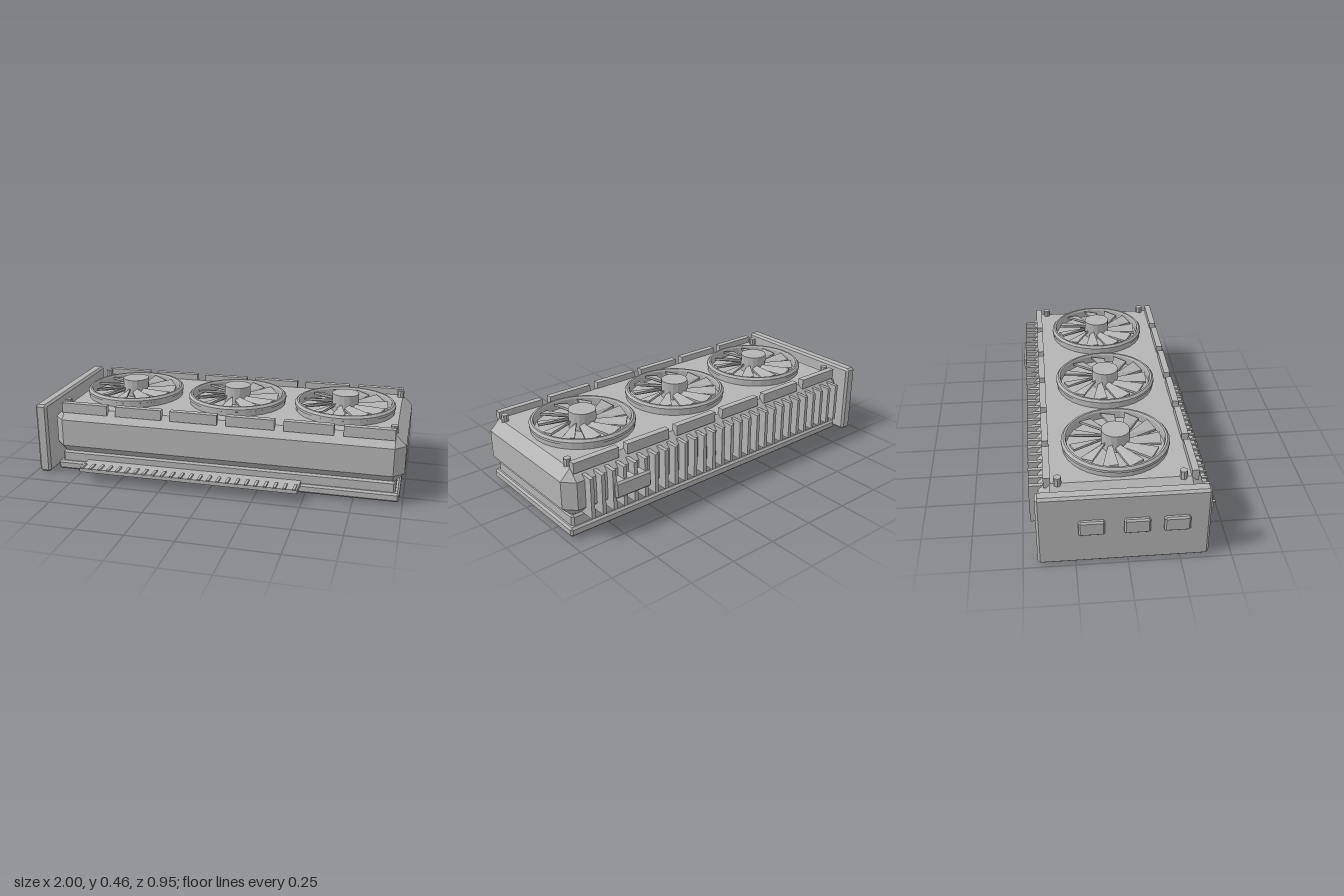
import * as THREE from 'three';
import { ConvexGeometry } from 'three/addons/geometries/ConvexGeometry.js';

const grey = new THREE.MeshStandardMaterial({ color: 0xb4b4b4, flatShading: true });
grey.name = 'plain grey';

// Box given by its extents, with all edges chamfered by b
function chamferBox([x0, x1], [y0, y1], [z0, z1], b) {
  const h = [(x1 - x0) / 2, (y1 - y0) / 2, (z1 - z0) / 2];
  const points = [];
  for (const sx of [-1, 1]) for (const sy of [-1, 1]) for (const sz of [-1, 1]) {
    for (let axis = 0; axis < 3; axis++) {
      const d = h.map((v, i) => (i === axis ? v : v - b));
      points.push(new THREE.Vector3(sx * d[0], sy * d[1], sz * d[2]));
    }
  }
  return new ConvexGeometry(points).translate((x0 + x1) / 2, (y0 + y1) / 2, (z0 + z1) / 2);
}

function box([x0, x1], [y0, y1], [z0, z1]) {
  return new THREE.BoxGeometry(x1 - x0, y1 - y0, z1 - z0)
    .translate((x0 + x1) / 2, (y0 + y1) / 2, (z0 + z1) / 2);
}

function add(parent, name, geometry) {
  const mesh = new THREE.Mesh(geometry, grey);
  mesh.name = name;
  parent.add(mesh);
  return mesh;
}

// Tapered, swept and slightly pitched fan blade
function bladeGeometry() {
  const corners = [ // radius, angle in degrees, top height
    [0.228, 0, 0.41], [0.23, 19, 0.392], [0.066, 18, 0.41], [0.066, 38, 0.392],
  ];
  const points = [];
  for (const [r, deg, y] of corners) {
    const a = THREE.MathUtils.degToRad(deg);
    for (const dy of [0, -0.012]) {
      points.push(new THREE.Vector3(r * Math.cos(a), y + dy, r * Math.sin(a)));
    }
  }
  return new ConvexGeometry(points);
}

function createFan() {
  const fan = new THREE.Group();
  fan.name = 'fan';
  const profile = [
    [0.245, 0.36], [0.266, 0.36], [0.266, 0.388], [0.271, 0.39], [0.271, 0.403],
    [0.26, 0.415], [0.25, 0.415], [0.245, 0.405], [0.245, 0.36],
  ].map(([r, y]) => new THREE.Vector2(r, y));
  add(fan, 'fanRing', new THREE.LatheGeometry(profile, 32));
  add(fan, 'fanHub', new THREE.CylinderGeometry(0.072, 0.072, 0.1, 16).translate(0, 0.409, 0));
  const blade = bladeGeometry();
  for (let i = 0; i < 11; i++) {
    add(fan, 'fanBlade', blade).rotation.y = (i / 11) * Math.PI * 2 + 1.4;
  }
  return fan;
}

export function createModel() {
  const model = new THREE.Group();
  model.name = 'graphicsCard';

  // Stacked body
  add(model, 'shroud', chamferBox([-0.888, 1], [0.108, 0.365], [-0.412, 0.375], 0.055));
  add(model, 'middleLayer', chamferBox([-0.856, 0.963], [0.05, 0.122], [-0.38, 0.343], 0.012));
  add(model, 'basePlate', chamferBox([-0.877, 0.982], [0.016, 0.064], [-0.397, 0.36], 0.01));

  // End bracket with three ports
  add(model, 'endBracket', chamferBox([-0.98, -0.915], [0, 0.39], [-0.43, 0.39], 0.012));
  for (const z of [-0.172, 0.042, 0.23]) {
    add(model, 'port', chamferBox([-1, -0.96], [0.174, 0.254], [z - 0.062, z + 0.062], 0.008));
  }

  // Three fans along the top
  for (const x of [-0.545, 0.053, 0.652]) {
    const fan = createFan();
    fan.position.set(x, 0, -0.02);
    model.add(fan);
  }

  // Broken rails along both long edges
  for (let i = 0; i < 6; i++) {
    const x = 0.053 + (i - 2.5) * 0.305;
    for (const z of [0.333, -0.37]) {
      add(model, 'topRail', box([x - 0.128, x + 0.128], [0.345, 0.4], [z - 0.017, z + 0.017]));
    }
  }

  // Corner screws
  for (const x of [-0.83, 0.933]) for (const z of [0.277, -0.32]) {
    add(model, 'screw', new THREE.CylinderGeometry(0.019, 0.019, 0.045, 8).translate(x, 0.378, z));
  }

  // Cooling fins and power socket on the back
  for (let i = 0; i < 28; i++) {
    const x = -0.793 + i * 0.0624;
    add(model, 'coolingFin', box([x - 0.01, x + 0.01], [0.118, 0.333], [-0.458, -0.37]));
  }
  add(model, 'powerSocket', chamferBox([0.56, 0.77], [0.18, 0.268], [-0.474, -0.4], 0.01));

  // Edge connector with contact fingers
  add(model, 'edgeConnector', box([-0.705, 0.48], [0.057, 0.078], [0.34, 0.468]));
  for (let i = 0; i < 24; i++) {
    const x = -0.69 + i * 0.0502;
    add(model, 'contactFinger', box([x - 0.007, x + 0.007], [0.078, 0.087], [0.412, 0.478]));
  }

  return model;
}
